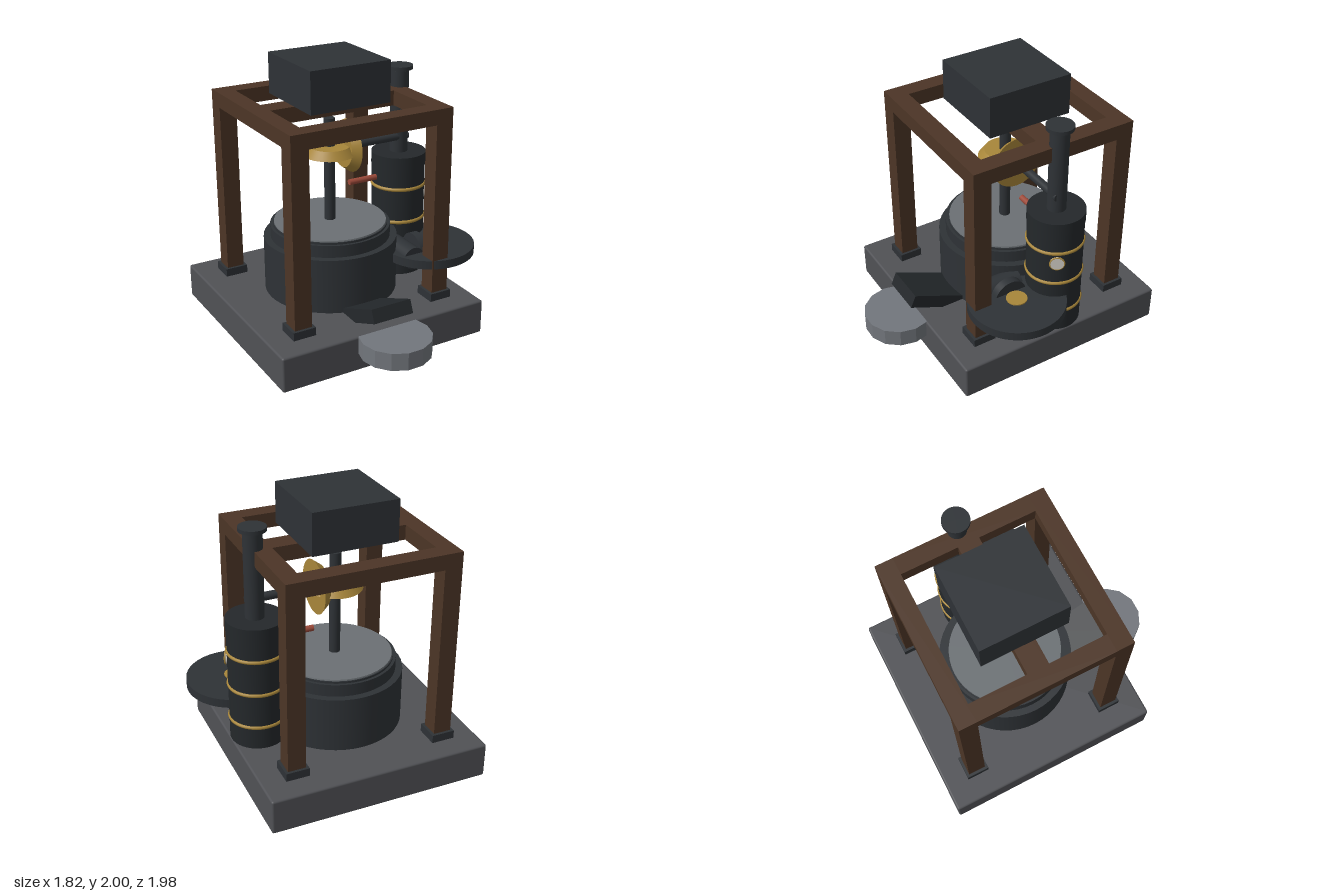
import * as THREE from 'three';
import { RoundedBoxGeometry } from 'three/addons/geometries/RoundedBoxGeometry.js';

const mat = (color, extra = {}) => new THREE.MeshStandardMaterial({ color, ...extra });
const iron = mat(0x2e3236), darkIron = mat(0x24282b), slab = mat(0x505155), stone = mat(0x6b7074);
const wood = mat(0x4c3526), brass = mat(0xa8863a), copper = mat(0x9c4a3a), dial = mat(0xd0ccc4);

export function createModel() {
  const root = new THREE.Group();

  const add = (name, geometry, material, x, y, z) => {
    const mesh = new THREE.Mesh(geometry, material);
    mesh.name = name;
    mesh.position.set(x, y, z);
    root.add(mesh);
    return mesh;
  };
  // Box from its minimum and maximum corners
  const box = (name, material, x0, x1, y0, y1, z0, z1) => add(name,
    new THREE.BoxGeometry(x1 - x0, y1 - y0, z1 - z0), material,
    (x0 + x1) / 2, (y0 + y1) / 2, (z0 + z1) / 2);
  // Upright cylinder or cone frustum between two heights
  const drum = (name, material, x, z, y0, y1, r, rTop = r, sides = 40) => add(name,
    new THREE.CylinderGeometry(rTop, r, y1 - y0, sides), material, x, (y0 + y1) / 2, z);
  // Cylinder lying along x; r0 is the radius at x0
  const axle = (name, material, x0, x1, y, z, r0, r1 = r0) => {
    const mesh = add(name, new THREE.CylinderGeometry(r0, r1, x1 - x0, 40), material, (x0 + x1) / 2, y, z);
    mesh.rotation.z = Math.PI / 2;
    return mesh;
  };

  const cx = -0.1, cz = -0.175; // centre of the frame and the tub

  // Foundation
  add('base', new RoundedBoxGeometry(1.62, 0.26, 1.63, 2, 0.015), slab, cx, 0.13, cz);

  // Timber frame: posts with iron feet, top beams and cross beam
  for (const sx of [-1, 1]) {
    for (const sz of [-1, 1]) {
      const x = cx + sx * 0.555, z = cz + sz * 0.56;
      box('post', wood, x - 0.065, x + 0.065, 0.26, 1.59, z - 0.065, z + 0.065);
      box('postFoot', iron, x - 0.085, x + 0.085, 0.26, 0.32, z - 0.085, z + 0.085);
    }
    const x = cx + sx * 0.555, z = cz + sx * 0.56;
    box('sideBeam', wood, x - 0.065, x + 0.065, 1.59, 1.7, cz - 0.495, cz + 0.495);
    box('endBeam', wood, cx - 0.62, cx + 0.62, 1.59, 1.7, z - 0.065, z + 0.065);
  }
  box('crossBeam', wood, cx - 0.49, cx + 0.49, 1.59, 1.7, -0.255, -0.1);
  box('hopper', iron, -0.41, 0.21, 1.7, 2, -0.49, 0.14);

  // Grinding tub with rim and stone
  drum('tub', iron, cx, cz, 0.26, 0.67, 0.49, 0.49, 48);
  drum('tubRim', iron, cx, cz, 0.67, 0.76, 0.44, 0.44, 48);
  drum('stoneEdge', iron, cx, cz, 0.76, 0.775, 0.42, 0.42, 48);
  drum('millstone', stone, cx, cz, 0.765, 0.785, 0.415, 0.41, 48);

  // Drive shafts and the pair of bevel gears
  drum('mainShaft', iron, cx, cz, 0.78, 1.555, 0.04);
  drum('bevelGear', brass, cx, cz, 1.29, 1.35, 0.195, 0.15);
  axle('bevelGear', brass, 0, 0.06, 1.32, cz, 0.15, 0.195);
  axle('driveShaft', iron, 0.03, 0.56, 1.32, cz, 0.03);

  // Boiler with bands, chimney and steam pipe
  const bx = 0.507, bz = -0.205;
  drum('boiler', darkIron, bx, bz, 0.26, 1.11, 0.2);
  drum('boilerCap', darkIron, bx, bz, 1.11, 1.2, 0.204);
  for (const y of [0.43, 0.69, 0.95]) {
    const band = add('boilerBand', new THREE.TorusGeometry(0.195, 0.015, 10, 48), brass, bx, y, bz);
    band.rotation.x = Math.PI / 2;
  }
  drum('chimney', iron, bx, bz, 1.2, 1.817, 0.067);
  drum('chimneyCap', iron, bx, bz, 1.826, 1.853, 0.096);
  axle('steamPipe', copper, 0.08, 0.33, 1.02, bz, 0.022);

  // Pressure gauge, turned towards the front left
  const gauge = new THREE.Group();
  gauge.name = 'pressureGauge';
  gauge.position.set(bx + 0.2 * Math.cos(Math.PI / 6), 0.875, bz + 0.1);
  gauge.rotation.y = Math.PI / 3;
  const face = new THREE.Mesh(new THREE.CylinderGeometry(0.05, 0.05, 0.03, 32), dial);
  face.name = 'gaugeFace';
  face.rotation.x = Math.PI / 2;
  const bezel = new THREE.Mesh(new THREE.TorusGeometry(0.05, 0.006, 8, 32), brass);
  bezel.name = 'gaugeBezel';
  bezel.position.z = 0.01;
  gauge.add(face, bezel);
  root.add(gauge);

  // Flat flywheel with hub, engine cylinder and crank disc
  drum('flywheel', iron, 0.555, 0.135, 0.505, 0.57, 0.35, 0.35, 56);
  drum('flywheelHub', brass, 0.555, 0.135, 0.497, 0.578, 0.075);
  const engine = drum('engineCylinder', iron, 0.345, 0.14, 0.395, 0.675, 0.085);
  engine.rotation.x = Math.PI / 2;
  axle('crankDisc', iron, 0.42, 0.48, 0.535, 0.135, 0.125);

  // Discharge chute and collecting basin
  const chute = add('chute', new THREE.BoxGeometry(0.31, 0.1, 0.5), darkIron, cx, 0.317, 0.463);
  chute.rotation.x = -0.41;
  const basin = add('basin', new THREE.CylinderGeometry(0.257, 0.257, 0.129, 14),
    mat(0x72767c, { flatShading: true }), cx, 0.1945, 0.735);
  basin.rotation.y = Math.PI / 14;

  return root;
}
